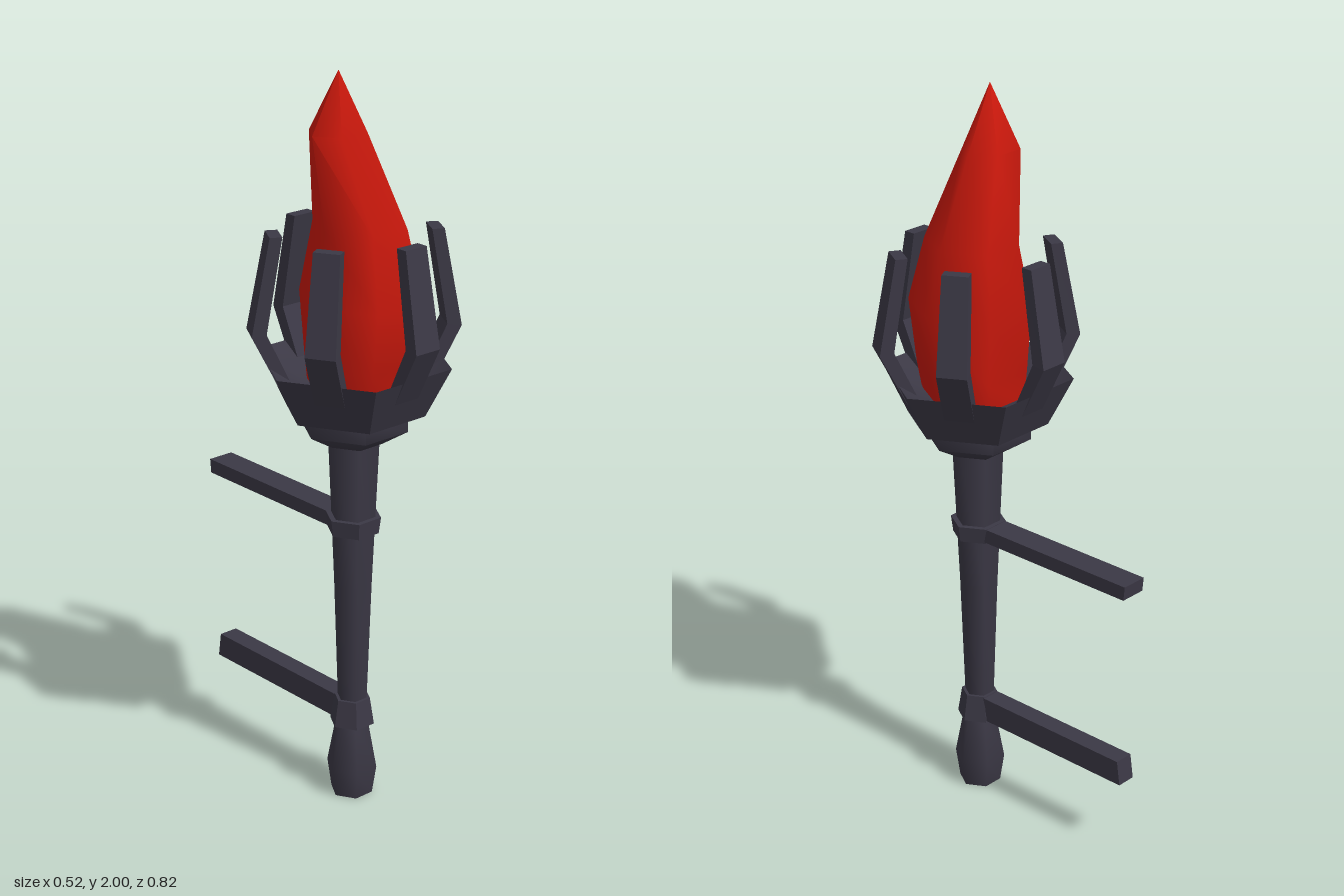
import * as THREE from 'three';
import { toCreasedNormals } from 'three/addons/utils/BufferGeometryUtils.js';

const SIDES = 6;
const AXIS_Z = 0.14; // the torch axis sits in front of the wall brackets

export function createModel() {
  const root = new THREE.Group();
  root.name = 'wallTorch';
  const iron = new THREE.MeshStandardMaterial({ color: 0x3b3845 });
  const fire = new THREE.MeshStandardMaterial({ color: 0xc8180c });

  const torch = new THREE.Group();
  torch.name = 'torch';
  torch.position.z = AXIS_Z;
  root.add(torch);

  function add(name, geometry, material = iron, parent = torch) {
    const mesh = new THREE.Mesh(geometry, material);
    mesh.name = name;
    parent.add(mesh);
    return mesh;
  }

  // Six-sided turned part with corners on the x axis; profile is [radius, y] from bottom to top
  function turned(name, profile, crease) {
    const points = profile.map(([r, y]) => new THREE.Vector2(r, y));
    const lathe = new THREE.LatheGeometry(points, SIDES, Math.PI / 6);
    return add(name, toCreasedNormals(lathe, crease));
  }

  // Handle
  turned('pommel', [[0, 0], [0.058, 0], [0.07, 0.08], [0.045, 0.215], [0, 0.215]], 1.1);
  turned('shaft', [[0.038, 0.2], [0.052, 0.62], [0.07, 1.03]], 1.1);
  turned('lowerCollar', [[0.03, 0.21], [0.062, 0.21], [0.05, 0.285], [0.03, 0.285]], 0.8);
  turned('upperCollar', [[0.04, 0.77], [0.07, 0.77], [0.076, 0.815], [0.04, 0.815]], 0.8);

  // Head: flared cup and the wide bowl with a dished inside
  turned('cup', [[0.06, 1.015], [0.075, 1.02], [0.145, 1.062], [0.145, 1.12]], 1.1);
  turned('bowl', [[0.1, 1.11], [0.19, 1.11], [0.258, 1.245], [0.15, 1.18], [0, 1.17]], 0.8);

  // Bent prongs, one over each flat side of the bowl
  const side = new THREE.Shape([
    [0.16, 1.18], [0.195, 1.18], [0.27, 1.33], [0.222, 1.585], [0.19, 1.585], [0.232, 1.335],
  ].map(([r, y]) => new THREE.Vector2(r, y)));
  const prong = new THREE.ExtrudeGeometry(side, { depth: 0.08, bevelEnabled: false });
  prong.translate(0, 0, -0.04);
  const p = prong.attributes.position;
  for (let i = 0; i < p.count; i++) {
    if (p.getY(i) > 1.5) p.setZ(i, p.getZ(i) * 0.87);
  }
  prong.computeVertexNormals();
  for (let k = 0; k < SIDES; k++) {
    add('prong', prong).rotation.y = Math.PI / 2 + (k * Math.PI) / 3;
  }

  // Flame: hexagonal sections [y, centre x, centre z, radius x, radius z], leaning to a tip
  const sections = [
    [1.165, 0, 0.015, 0.13, 0.14],
    [1.25, 0, 0.02, 0.145, 0.15],
    [1.42, -0.008, 0.033, 0.155, 0.17],
    [1.6, 0.005, 0.012, 0.115, 0.13],
    [1.84, -0.046, -0.012, 0.085, 0.07],
    [2.0, -0.07, 0.015, 0, 0],
  ];
  const positions = [];
  const index = [];
  sections.forEach(([y, cx, cz, rx, rz], j) => {
    for (let i = 0; i < SIDES; i++) {
      const a = Math.PI / 6 + (i * Math.PI) / 3;
      positions.push(cx + rx * Math.sin(a), y, cz + rz * Math.cos(a));
      if (j === 0) continue;
      const n = (i + 1) % SIDES;
      const low = (j - 1) * SIDES;
      const high = j * SIDES;
      index.push(low + i, low + n, high + i);
      if (rx > 0) index.push(low + n, high + n, high + i);
    }
  });
  const flame = new THREE.BufferGeometry();
  flame.setAttribute('position', new THREE.Float32BufferAttribute(positions, 3));
  flame.setIndex(index);
  add('flame', toCreasedNormals(flame, 1.2), fire);

  // Wall brackets reaching back from the collars
  function bracket(name, width, bottom, top, back, slant) {
    const shape = new THREE.Shape([
      new THREE.Vector2(-AXIS_Z, bottom), new THREE.Vector2(back, bottom),
      new THREE.Vector2(back - slant, top), new THREE.Vector2(-AXIS_Z, top),
    ]);
    const bar = new THREE.ExtrudeGeometry(shape, { depth: width, bevelEnabled: false });
    bar.translate(0, 0, -width / 2);
    bar.rotateY(Math.PI / 2);
    add(name, bar, iron, root);
  }
  bracket('upperBracket', 0.075, 0.775, 0.814, 0.405, -0.004);
  bracket('lowerBracket', 0.055, 0.214, 0.282, 0.397, 0.01);

  return root;
}
